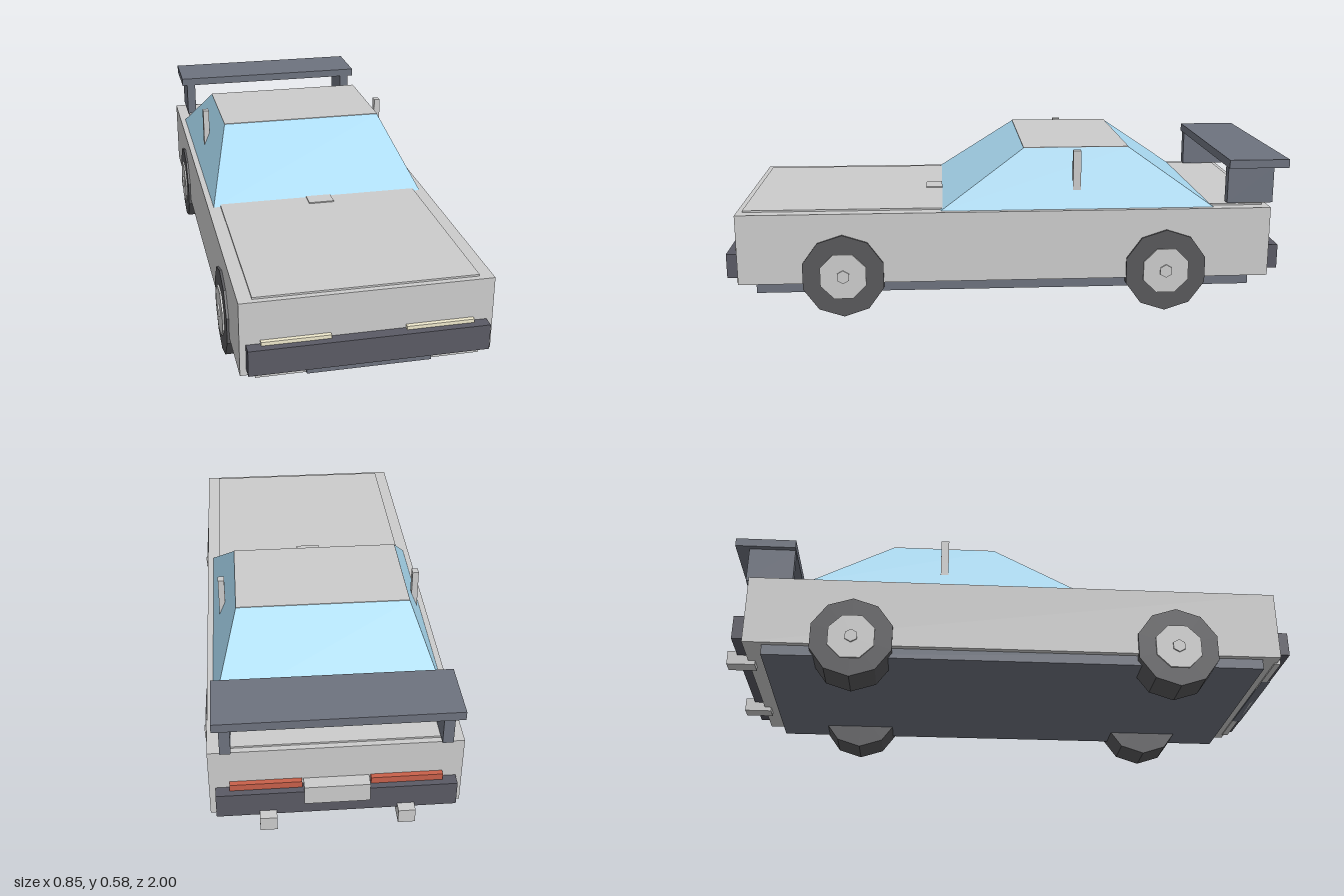
import * as THREE from 'three';

const paint = (color) => new THREE.MeshStandardMaterial({ color, flatShading: true });

export function createModel() {
  const car = new THREE.Group();
  car.name = 'car';

  const grey = paint(0xcccccc);
  const glass = paint(0xa8d8f0);
  const dark = paint(0x5a5a64);
  const slate = paint(0x6d727e);
  const rubber = paint(0x58585b);
  const cream = paint(0xeee8cc);
  const red = paint(0xc8604a);

  const add = (name, geometry, material) => {
    const mesh = new THREE.Mesh(geometry, material);
    mesh.name = name;
    car.add(mesh);
    return mesh;
  };
  // Box given by its limits on each axis
  const block = (name, [x0, x1], [y0, y1], [z0, z1], material) => {
    const mesh = add(name, new THREE.BoxGeometry(x1 - x0, y1 - y0, z1 - z0), material);
    mesh.position.set((x0 + x1) / 2, (y0 + y1) / 2, (z0 + z1) / 2);
    return mesh;
  };
  // Same box on the left (+x) and the right (-x)
  const pair = (name, [x0, x1], y, z, material) => {
    block(name + 'Left', [x0, x1], y, z, material);
    block(name + 'Right', [-x1, -x0], y, z, material);
  };

  // Body and floor
  block('body', [-0.405, 0.405], [0.115, 0.366], [-0.925, 0.96], grey);
  block('underbody', [-0.385, 0.385], [0.078, 0.13], [-0.86, 0.9], slate);
  block('hood', [-0.36, 0.36], [0.36, 0.372], [0.24, 0.94], grey);
  block('trunkLid', [-0.36, 0.36], [0.36, 0.372], [-0.905, -0.7], grey);
  block('hoodVent', [-0.045, 0.045], [0.365, 0.376], [0.24, 0.3], grey);

  // Cabin: a box tapered towards the roof, the rear sloping longer
  const cabin = new THREE.BoxGeometry(2, 1, 2);
  const p = cabin.attributes.position;
  for (let i = 0; i < p.count; i++) {
    const top = p.getY(i) > 0;
    const front = p.getZ(i) > 0;
    const z = top ? (front ? 0.05 * -1 : -0.427) : (front ? 0.25 : -0.725);
    p.setXYZ(i, Math.sign(p.getX(i)) * (top ? 0.298 : 0.385), top ? 0.571 : 0.365, z);
  }
  cabin.computeVertexNormals();
  add('cabinGlass', cabin, glass);
  block('roof', [-0.298, 0.298], [0.569, 0.573], [-0.427, -0.05], grey);
  pair('doorPost', [0.336, 0.358], [0.42, 0.57], [-0.25, -0.222], grey);

  // Front end
  block('frontBumper', [-0.385, 0.385], [0.135, 0.222], [0.95, 1], dark);
  block('frontGrille', [-0.2, 0.2], [0.11, 0.2], [0.95, 0.982], slate);
  block('frontLip', [-0.36, 0.36], [0.11, 0.135], [0.95, 0.972], grey);
  pair('headlight', [0.12, 0.34], [0.19, 0.234], [0.95, 0.975], cream);

  // Rear end
  block('rearBumper', [-0.385, 0.385], [0.135, 0.222], [-0.965, -0.92], dark);
  block('rearPlate', [-0.105, 0.105], [0.175, 0.243], [-0.97, -0.92], grey);
  pair('taillight', [0.11, 0.34], [0.19, 0.245], [-0.943, -0.92], red);
  pair('exhaust', [0.193, 0.248], [0.1, 0.15], [-1, -0.9], grey);

  // Rear wing on two posts
  block('wing', [-0.385, 0.385], [0.505, 0.535], [-0.99, -0.775], slate);
  pair('wingPost', [0.33, 0.365], [0.375, 0.506], [-0.942, -0.777], slate);

  // Wheels: ten-sided tyres standing on a flat, eight-sided rims, six-sided hubs
  const disc = (name, radius, sides, x0, x1, z, side, material) => {
    const geometry = new THREE.CylinderGeometry(radius, radius, x1 - x0, sides);
    geometry.rotateY(Math.PI / sides);
    geometry.rotateZ(Math.PI / 2);
    add(name, geometry, material).position.set((side * (x0 + x1)) / 2, 0.142, z);
  };
  for (const [end, z] of [['front', 0.593], ['rear', -0.553]]) {
    for (const [hand, side] of [['Left', 1], ['Right', -1]]) {
      // The tyre's flat faces the ground
      const tyre = new THREE.CylinderGeometry(0.149, 0.149, 0.133, 10);
      tyre.rotateZ(Math.PI / 2);
      tyre.rotateX(Math.PI / 2);
      add(end + hand + 'Tyre', tyre, rubber).position.set(side * 0.3465, 0.142, z);
      disc(end + hand + 'Rim', 0.087, 8, 0.38, 0.419, z, side, grey);
      disc(end + hand + 'Hub', 0.024, 6, 0.4, 0.425, z, side, grey);
    }
  }
  return car;
}
